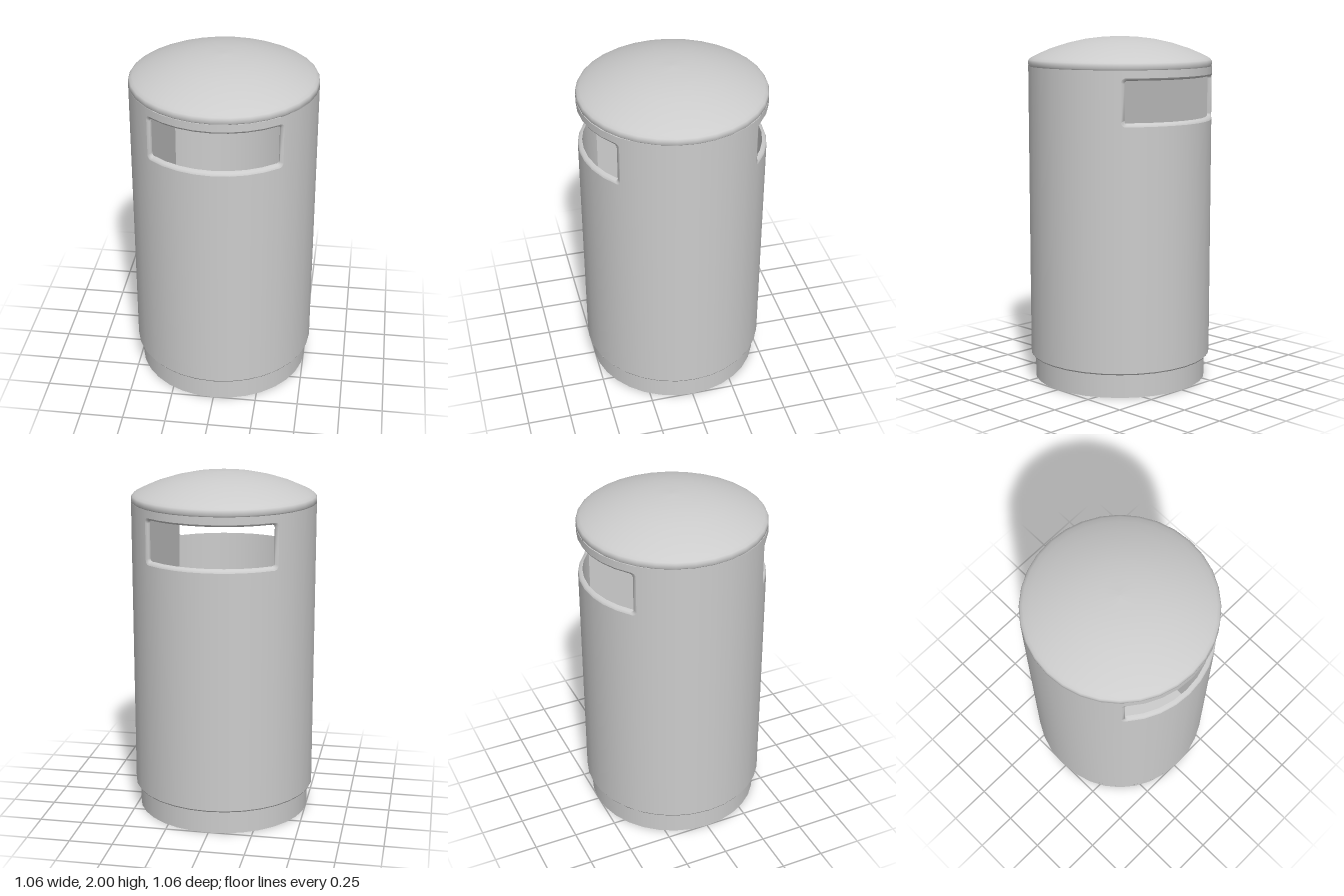
import * as THREE from 'three';

const R = 0.53, R_IN = 0.505;          // outer and inner wall radius
const BODY_Y = 0.147, RIM_Y = 1.832;   // body wall extent
const FLOOR_Y = 0.15, CEIL_Y = 1.787;  // hollow interior extent

const grey = new THREE.MeshStandardMaterial({ color: 0xcccccc, side: THREE.DoubleSide });
grey.name = 'lightGrey';

function add(parent, geometry, name) {
  const mesh = new THREE.Mesh(geometry, grey);
  mesh.name = name;
  parent.add(mesh);
  return mesh;
}

const lathe = (pts, segs = 32, start = 0, len = Math.PI * 2) =>
  new THREE.LatheGeometry(pts.map(([x, y]) => new THREE.Vector2(x, y)), segs, start, len);

// Surface through rows of [angle, y, radius]; radial = +1/-1 gives cylinder normals
function surface(rows, radial = 0) {
  const pos = [], idx = [], n = rows[0].length;
  for (const row of rows)
    for (const [a, y, r] of row) pos.push(r * Math.sin(a), y, r * Math.cos(a));
  for (let j = 0; j < rows.length - 1; j++)
    for (let i = 0; i < n - 1; i++) {
      const a = j * n + i, b = a + 1, c = a + n, d = c + 1;
      if (radial < 0) idx.push(a, c, b, b, c, d);
      else idx.push(a, b, c, b, d, c);
    }
  const g = new THREE.BufferGeometry();
  g.setAttribute('position', new THREE.Float32BufferAttribute(pos, 3));
  g.setIndex(idx);
  g.computeVertexNormals();
  if (radial) {
    const nor = [];
    for (const row of rows)
      for (const [a] of row) nor.push(radial * Math.sin(a), 0, radial * Math.cos(a));
    g.setAttribute('normal', new THREE.Float32BufferAttribute(nor, 3));
  }
  return g;
}

// Lower and upper edges of a rounded opening wrapped on the cylinder, left to right
function opening(r, halfX, y0, y1, c) {
  const m = Math.asin(halfX / r), corner = [];
  for (let k = 0; k <= 4; k++) {
    const t = (k / 4) * Math.PI / 2;
    corner.push([-m + (c / r) * (1 - Math.cos(t)), c * (1 - Math.sin(t))]);
  }
  const left = corner[4][0], mid = [];
  for (let k = 1; k < 8; k++) mid.push([left * (1 - k / 4), 0]);
  const chain = [...corner, ...mid, ...corner.map(([a, h]) => [-a, h]).reverse()];
  const lower = chain.map(([a, h]) => [a, y0 + h, r]);
  const upper = chain.map(([a, h]) => [a, y1 - h, r]);
  return { m, lower, upper, loop: [...lower, ...[...upper].reverse(), lower[0]] };
}

const level = (chain, y) => chain.map(([a, , r]) => [a, y, r]);

export function createModel() {
  const model = new THREE.Group();
  model.name = 'litterBin';

  // Recessed plinth with flat underside
  add(model, lathe([[0.503, 0], [0.503, 0.136]]), 'plinth');
  add(model, new THREE.CircleGeometry(0.503, 32).rotateX(Math.PI / 2), 'underside');
  add(model, lathe([[0.503, 0.136], [0.525, 0.139], [R, BODY_Y]]), 'bodyLowerLip');

  // Openings on the front and back walls
  const outer = opening(R, 0.37, 1.526, 1.789, 0.025);
  const middle = opening(0.524, 0.352, 1.54, 1.779, 0.02);
  const inner = opening(R_IN, 0.345, 1.546, 1.775, 0.015);
  for (const [side, turn] of [['front', 0], ['back', Math.PI]]) {
    const wall = new THREE.Group();
    wall.name = side + 'Wall';
    wall.rotation.y = turn;
    model.add(wall);
    add(wall, surface([level(outer.lower, BODY_Y), outer.lower], 1), 'outerWallBelowOpening');
    add(wall, surface([outer.upper, level(outer.upper, RIM_Y)], 1), 'outerWallAboveOpening');
    add(wall, surface([outer.loop, middle.loop, inner.loop]), 'openingFrame');
    add(wall, surface([level(inner.lower, FLOOR_Y), inner.lower], -1), 'innerWallBelowOpening');
    add(wall, surface([inner.upper, level(inner.upper, CEIL_Y)], -1), 'innerWallAboveOpening');
  }

  // Side walls: curved outside, flat inside
  const innerX = 0.345, innerZ = R_IN * Math.cos(inner.m);
  for (const s of [1, -1]) {
    const start = outer.m + (s < 0 ? Math.PI : 0);
    const name = s > 0 ? 'left' : 'right';
    add(model, lathe([[R, BODY_Y], [R, RIM_Y]], 8, start, Math.PI - 2 * outer.m), name + 'OuterWall');
    const plane = new THREE.PlaneGeometry(2 * innerZ, CEIL_Y - FLOOR_Y);
    plane.rotateY(-s * Math.PI / 2).translate(s * innerX, (CEIL_Y + FLOOR_Y) / 2, 0);
    add(model, plane, name + 'InnerWall');
  }

  // Interior floor and ceiling
  const section = new THREE.Shape();
  const a = Math.atan2(innerZ, innerX);
  section.absarc(0, 0, R_IN, a, Math.PI - a, false);
  section.absarc(0, 0, R_IN, Math.PI + a, Math.PI * 2 - a, false);
  const floor = new THREE.ShapeGeometry(section, 8).rotateX(-Math.PI / 2);
  add(model, floor.translate(0, FLOOR_Y, 0), 'interiorFloor');
  const ceiling = new THREE.ShapeGeometry(section, 8).rotateX(Math.PI / 2);
  add(model, ceiling.translate(0, CEIL_Y, 0), 'interiorCeiling');

  // Domed lid with a rounded rim
  add(model, lathe([
    [0.522, 1.83], [R, 1.838], [R, 1.858], [0.524, 1.869], [0.508, 1.881], [0.47, 1.9],
    [0.4, 1.93], [0.3, 1.962], [0.2, 1.984], [0.1, 1.996], [0, 2],
  ]), 'lid');
  return model;
}
